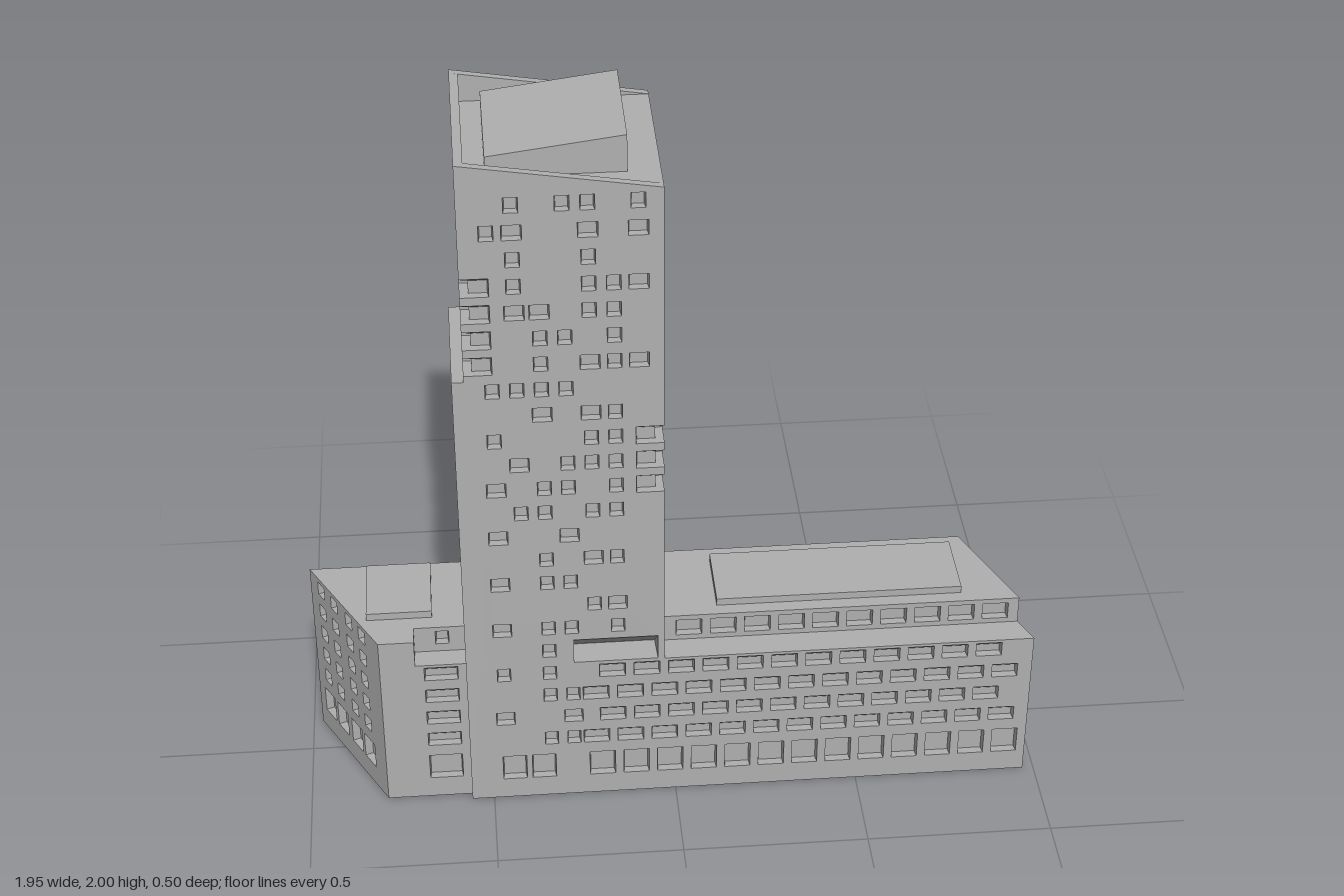
import * as THREE from 'three';

const concrete = new THREE.MeshStandardMaterial({ color: 0xb0b0b0 });
concrete.name = 'concrete grey';

const V2 = (p) => new THREE.Vector2(p[0], p[1]);
const rowY = (i) => 1.868 - 0.0757 * i; // storey heights, counted from the top
const range = (n) => [...Array(n).keys()];

// window patterns per storey: o = narrow, w = wide
const frontRows = ['.o.oo.o', 'ow..w.w', '.o..o..', '.o..oow', '.ww.oo.', '..oo.o.', '..o.wow', 'oooo...',
  '..w.wo.', 'o...oo.', '.w.ooo.', 'w.oo.o.', '.oo.oo.', 'w..w...', '..o.wo.', 'w.oo...', '....ow.',
  'w.oo.o.', '..o....', 'o.o....', '..oo...', 'w..w...', '..oo...'];
const sideRows = ['..oo.o.', 'o.o..o.', '....ooo', 'o.oo.o.', '..oooo.', 'o.o..o.', 'w.ww.w.', 'w.oo.w.',
  '..o.wo.', '..oo.o.', '..oooo.', '..ow.o.', '.ooo..o', '..ow...', 'w.ww.w.', 'o.o..o.', '..wwoo.',
  '.oo.oo.', '......o', '......o', '.......', '.......', '......o'];

const win = (u, v, w = 0.036, h = 0.042, drop = 0.011) => ({ u, v, w, h, drop, depth: 0.022 });

function pattern(rows, u0, keep = () => true) {
  const list = [];
  rows.forEach((row, i) => [...row].forEach((c, j) => {
    if (c !== '.' && keep(i, j)) list.push(win(u0 + j * 0.0613, rowY(i), c === 'w' ? 0.05 : 0.036));
  }));
  return list;
}
const grid = (us, storeys, w, h, drop) => storeys.flatMap((i) => us.map((u) => win(u, rowY(i), w, h, drop)));

// corner windows cut into a facade edge; side is -1 (left edge) or 1 (right edge)
const NW = 0.072, NH = 0.052;
const cornerWindows = (u, side, storeys) => storeys.map((i) =>
  ({ ...win(u - side * NW / 2, rowY(i), NW, NH, 0.016), side }));
function notchOutline(u, side, storeys) {
  const up = side > 0;
  const order = up ? [...storeys].reverse() : storeys;
  return order.flatMap((i) => {
    const a = rowY(i) + (up ? -NH / 2 : NH / 2), b = rowY(i) + (up ? NH / 2 : -NH / 2), v = u - side * NW;
    return [[u, a], [v, a], [v, b], [u, b]];
  });
}

// wall with recessed windows: u runs to the right as seen from outside
function facade(name, x, z, angle, outline, windows = []) {
  const shape = new THREE.Shape(outline.map(V2));
  const recess = [];
  for (const { u, v, w, h, drop, depth: d, side = 0 } of windows) {
    const l = u - w / 2, r = u + w / 2, b = v - h / 2, t = v + h / 2, s = 0.003;
    if (!side) shape.holes.push(new THREE.Path([[l, b], [l, t], [r, t], [r, b]].map(V2)));
    const il = l + (side < 0 ? d : s), ir = r - (side > 0 ? d : s);
    const o = [[l, b, 0], [r, b, 0], [r, t, 0], [l, t, 0]];
    const n = [[il, b, -d], [ir, b, -d], [ir, t - drop, -d], [il, t - drop, -d]];
    const quad = (p, q, e, f) => recess.push(...p, ...q, ...e, ...p, ...e, ...f);
    for (let k = 0; k < 4; k++) {
      if ((side > 0 && k === 1) || (side < 0 && k === 3)) continue; // open at the corner
      const m = (k + 1) % 4;
      quad(o[k], o[m], n[m], n[k]);
    }
    quad(...n);
  }
  const flat = new THREE.ShapeGeometry(shape).toNonIndexed().getAttribute('position').array;
  const geo = new THREE.BufferGeometry();
  geo.setAttribute('position', new THREE.Float32BufferAttribute([...flat, ...recess], 3));
  geo.computeVertexNormals();
  const mesh = new THREE.Mesh(geo, concrete);
  mesh.name = name;
  mesh.position.set(x, 0, z);
  mesh.rotation.y = angle;
  return mesh;
}
const rect = (a, b, c, d) => [[a, b], [c, b], [c, d], [a, d]];

// horizontal surface from [x, z] points, facing up or down
function deck(name, y, pts, down = false) {
  const geo = new THREE.ShapeGeometry(new THREE.Shape(pts.map(([x, z]) => new THREE.Vector2(x, down ? z : -z))));
  geo.rotateX(down ? Math.PI / 2 : -Math.PI / 2);
  const mesh = new THREE.Mesh(geo, concrete);
  mesh.name = name;
  mesh.position.y = y;
  return mesh;
}

// solid with an x-y profile between two z values
function prism(name, pts, z0, z1) {
  const geo = new THREE.ExtrudeGeometry(new THREE.Shape(pts.map(V2)), { depth: z1 - z0, bevelEnabled: false });
  const mesh = new THREE.Mesh(geo, concrete);
  mesh.name = name;
  mesh.position.z = z0;
  return mesh;
}

export function createModel() {
  const g = new THREE.Group();
  g.name = 'towerBuilding';
  const F = 0.247, B = -0.25, Q = Math.PI / 2;
  const leftNotch = [3, 4, 5, 6], rightNotch = [9, 10, 11];
  const bay = 0.0926, all5 = [18, 19, 20, 21, 22];

  // tower and long wing share the front plane
  const ground = (u, w = 0.07) => win(u, 0.105, w, 0.08, 0.01);
  const bays = (u0, n, i) => range(n).map((k) => win(u0 + k * bay, rowY(i), 0.07, 0.043, 0.02));
  g.add(facade('frontFacade', 0, F, 0, [
    [-0.56, 0], [0.97, 0], [0.97, 0.46], [-0.03, 0.46], ...notchOutline(-0.03, 1, rightNotch), [-0.03, 1.9],
    [-0.53, 1.9], ...notchOutline(-0.53, -1, leftNotch), [-0.53, 1.37], [-0.56, 1.37],
  ], [
    ...pattern(frontRows, -0.46),
    ...cornerWindows(-0.03, 1, rightNotch), ...cornerWindows(-0.53, -1, leftNotch),
    ...bays(-0.17, 12, 19), ...bays(-0.215, 13, 20), ...bays(-0.17, 12, 21), ...bays(-0.215, 13, 22),
    ground(-0.44, 0.065), ground(-0.36, 0.065), ...range(13).map((k) => ground(-0.2 + k * bay)),
    { u: -0.16, v: 0.5, w: 0.224, h: 0.076, drop: 0.0755, depth: 0.078 }, // terrace slot
  ]));

  // tower right, back and left walls
  g.add(facade('towerRightWall', -0.03, 0, Q, [
    [0.12, 0], [0.25, 0], [0.25, 1.9], [-F, 1.9], ...notchOutline(-F, -1, rightNotch), [-F, 0.46], [0.12, 0.46],
  ], [...pattern(sideRows, -0.185), ...cornerWindows(-F, -1, rightNotch)]));
  const backRows = frontRows.map((r, i) => i % 2 ? r : [...r].reverse().join(''));
  g.add(facade('towerBackWall', 0, B, Math.PI,
    [[0.03, 0], [0.56, 0], [0.56, 1.0], [0.53, 1.0], [0.53, 1.9], [0.03, 1.9]],
    [...pattern(backRows, 0.09), ...range(5).map((k) => ground(0.11 + k * 0.092))]));
  const leftRows = sideRows.map((r) => [...r].reverse().join(''));
  g.add(facade('towerLeftUpperWall', -0.53, 0, -Q, [
    [B, 1.0], [-0.11, 1.0], [-0.11, 1.37], [F, 1.37], ...notchOutline(F, 1, leftNotch), [F, 1.9], [B, 1.9],
  ], [...pattern(leftRows, -0.185, (i, j) => (i < 7 && !(j === 6 && i > 2)) || (i < 12 && j === 0)),
    ...cornerWindows(F, 1, leftNotch)]));
  g.add(facade('towerLeftLowerWall', -0.56, 0, -Q,
    [[B, 0], [F, 0], [F, 1.37], [-0.11, 1.37], [-0.11, 1.0], [B, 1.0]],
    pattern(leftRows, -0.185, (i, j) => (i > 6 && i < 12 && j > 1) || (i > 11 && i < 18))));
  g.add(facade('sideStepWall', 0, -0.11, Math.PI, rect(0.53, 1.0, 0.56, 1.37)));
  g.add(deck('lowerSideLedge', 1.0, rect(-0.56, B, -0.53, -0.11)));
  g.add(deck('upperSideLedge', 1.37, rect(-0.56, -0.11, -0.53, F)));

  // tower roof, tapering parapet and tilted penthouse
  g.add(deck('towerRoof', 1.9, rect(-0.53, B, -0.03, F)));
  const wedge = [[-0.53, 1.9], [-0.03, 1.9], [-0.53, 1.98]];
  g.add(prism('frontParapet', wedge, F - 0.02, F));
  g.add(prism('backParapet', wedge, B, B + 0.02));
  g.add(prism('leftParapet', [[-0.53, 1.9], [-0.507, 1.9], [-0.507, 1.976], [-0.53, 1.98]], B + 0.02, F - 0.02));
  g.add(prism('penthouse', [[-0.455, 1.9], [-0.112, 1.9], [-0.112, 2.0], [-0.455, 1.955]], -0.175, 0.163));

  // long wing
  g.add(facade('wingUpperFront', 0, 0.17, 0, rect(-0.03, 0.46, 0.938, 0.54),
    range(10).map((k) => win(0.042 + k * 0.0925, 0.5, 0.07, 0.05, 0.01))));
  g.add(facade('wingBackWall', 0, -0.12, Math.PI, rect(-0.82, 0, 0.03, 0.54),
    grid(range(10).map((k) => -0.76 + k * 0.08), all5, 0.04)));
  const endL = Math.hypot(0.15, 0.367);
  g.add(facade('wingEndWall', 0.97, F, Math.atan2(0.367, -0.15),
    [[0, 0], [endL, 0], [endL, 0.54], [0.083, 0.54], [0.083, 0.46], [0, 0.46]],
    grid([0.116, 0.177, 0.238, 0.304], all5)));
  g.add(deck('wingTerrace', 0.46, [[-0.03, 0.17], [0.938, 0.17], [0.97, F], [-0.03, F]]));
  g.add(deck('wingRoof', 0.54, [[-0.03, -0.12], [0.82, -0.12], [0.938, 0.17], [-0.03, 0.17]]));
  g.add(prism('wingRoofSlab', rect(0.12, 0.54, 0.785, 0.561), -0.07, 0.133));

  // short wing
  g.add(facade('annexFront', 0, 0.225, 0,
    [[-0.79, 0], [-0.56, 0], [-0.56, 0.46], [-0.695, 0.46], [-0.695, 0.54], [-0.79, 0.54]],
    [...grid([-0.627], [19, 20, 21, 22], 0.09, 0.043, 0.02), ground(-0.627, 0.09)]));
  g.add(facade('annexUpperFront', 0, 0.165, 0, rect(-0.695, 0.46, -0.56, 0.54), [win(-0.62, rowY(18))]));
  g.add(facade('annexStepWall', -0.695, 0, Q, rect(-0.225, 0.46, -0.165, 0.54)));
  const annexL = Math.hypot(0.185, 0.345);
  const annexUs = [0.063, 0.138, 0.222, 0.296];
  g.add(facade('annexEndWall', -0.975, -0.12, -Math.atan2(0.345, 0.185), rect(0, 0, annexL, 0.54),
    [...grid(annexUs, all5), ...annexUs.map((u) => ground(u, 0.06))]));
  const annexBack = range(4).map((k) => 0.63 + k * 0.086);
  g.add(facade('annexBackWall', 0, -0.12, Math.PI, rect(0.56, 0, 0.975, 0.54),
    [...grid(annexBack, all5, 0.042), ...annexBack.map((u) => ground(u, 0.066))]));
  g.add(deck('annexTerrace', 0.46, rect(-0.695, 0.165, -0.56, 0.225)));
  g.add(deck('annexRoof', 0.54, [[-0.975, -0.12], [-0.56, -0.12], [-0.56, 0.165], [-0.695, 0.165],
    [-0.695, 0.225], [-0.79, 0.225]]));
  g.add(prism('annexRoofSlab', rect(-0.82, 0.54, -0.645, 0.561), -0.095, 0.12));

  // underside
  g.add(deck('underside', 0, [[-0.975, -0.12], [-0.56, -0.12], [-0.56, B], [-0.03, B], [-0.03, -0.12],
    [0.82, -0.12], [0.97, F], [-0.56, F], [-0.56, 0.225], [-0.79, 0.225]], true));
  return g;
}
